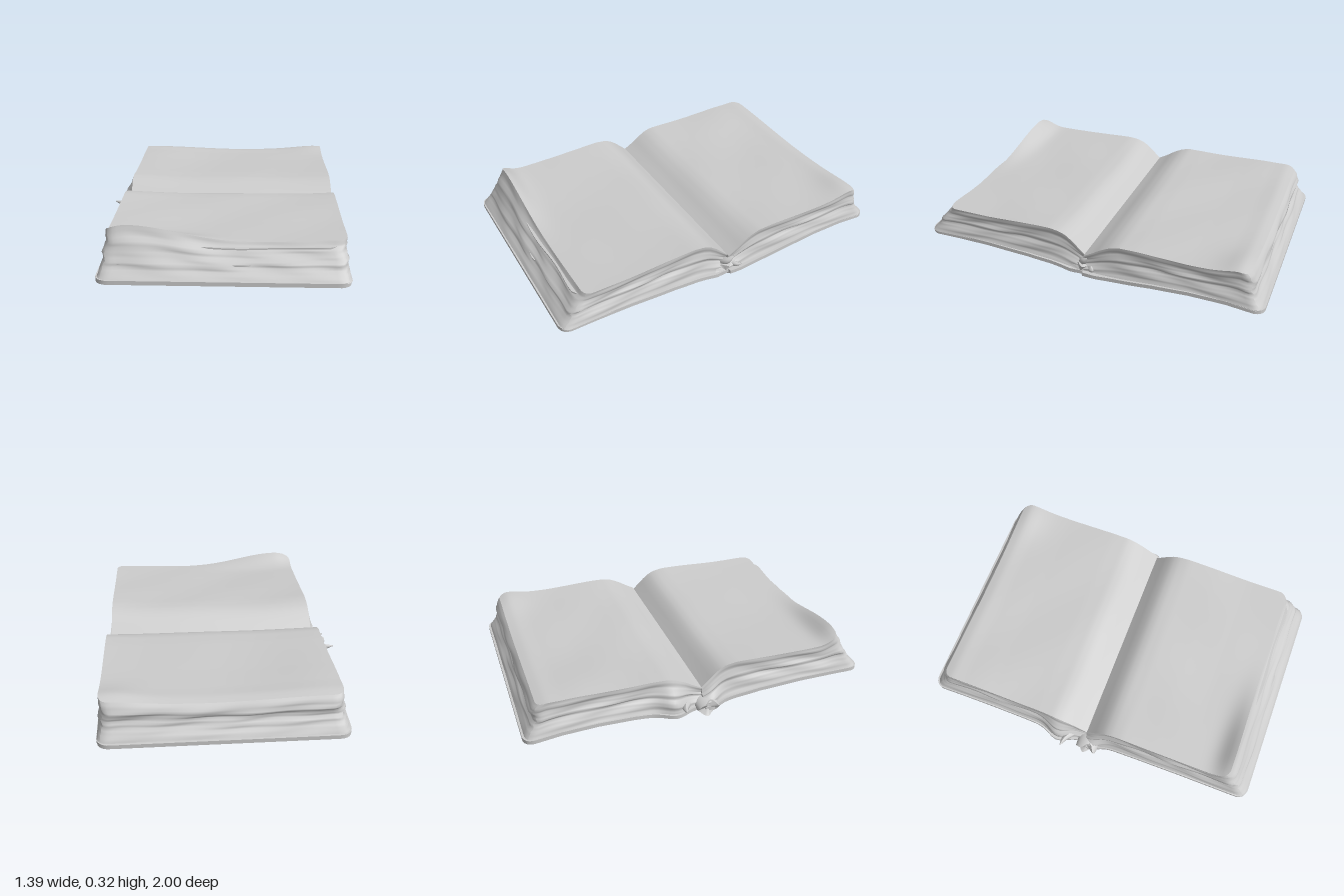
import * as THREE from 'three';

const grey = new THREE.MeshStandardMaterial({ color: 0xcccccc, side: THREE.DoubleSide });

// Piecewise-linear lookup through [position, value] pairs
function along(points, p) {
  for (let i = 1; i < points.length; i++) {
    const [a, va] = points[i - 1], [b, vb] = points[i];
    if (p <= b) return THREE.MathUtils.lerp(va, vb, THREE.MathUtils.clamp((p - a) / (b - a), 0, 1));
  }
  return points[points.length - 1][1];
}
const bump = (p, centre, width) => Math.exp(-(((p - centre) / width) ** 2));

// Rounds the two fore-edge corners of a slab in plan
function roundCorner(x, w, x0, x1, length, r) {
  const side = x < (x0 + x1) / 2 ? -1 : 1;
  const cx = side < 0 ? x0 + r : x1 - r, cw = length - r;
  const dx = (x - cx) * side, dw = w - cw;
  if (dx <= 0 || dw <= 0) return [x, w];
  const k = Math.max(dx, dw) / Math.hypot(dx, dw);
  return [cx + side * dx * k, cw + dw * k];
}

// Subdivided box whose vertices are placed by rule(u, t, w), each 0..1, w running out from the spine
function slab(name, dir, segments, rule) {
  const geometry = new THREE.BoxGeometry(1, 1, 1, ...segments);
  const pos = geometry.attributes.position;
  for (let i = 0; i < pos.count; i++) {
    const w = 0.5 + dir * pos.getZ(i);
    const [x, y, out] = rule(pos.getX(i) + 0.5, pos.getY(i) + 0.5, w);
    pos.setXYZ(i, x, y, dir * out);
  }
  geometry.computeVertexNormals();
  const mesh = new THREE.Mesh(geometry, grey);
  mesh.name = name;
  return mesh;
}

// Uneven layering of the page edges
const layers = (t, s) =>
  0.005 * Math.sin(t * 19 + 0.9 * Math.sin(s * 5)) + 0.004 * Math.sin(t * 37 + s * 4) + 0.004 * Math.sin(s * 17 + t * 9);

const halves = {
  front: {
    dir: 1, coverX: [-0.615, 0.662], pagesX: [-0.61, 0.66],
    top: [[0, 0.155], [0.03, 0.18], [0.07, 0.215], [0.11, 0.242], [0.15, 0.254], [0.22, 0.257], [0.4, 0.252], [0.6, 0.244], [0.9, 0.238]],
    edge: [[0, 0.995], [0.1, 0.98], [0.25, 0.958], [0.55, 0.918], [0.83, 0.872], [1, 0.855]],
    // curled-up corner
    lift: (x, z) => 0.08 * bump(x, -0.46, x < -0.46 ? 0.17 : 0.34) * bump(z, 0.87, 0.08),
    camber: 0.016,
    flare: (z) => 0.045 * bump(z, 0.03, 0.07),
    coverBottom: [[0, 0.028], [0.08, 0.028], [0.14, 0.042], [0.2, 0.052], [0.35, 0.067], [0.6, 0.074], [0.8, 0.07], [1, 0.064]],
  },
  back: {
    dir: -1, coverX: [-0.62, 0.68], pagesX: [-0.615, 0.675],
    top: [[0, 0.155], [0.05, 0.18], [0.1, 0.21], [0.15, 0.232], [0.2, 0.243], [0.3, 0.246], [0.6, 0.243], [0.78, 0.245], [0.86, 0.25], [0.94, 0.235]],
    edge: [[0, 0.99], [0.25, 0.962], [0.45, 0.935], [0.7, 0.938], [0.9, 0.93], [1, 0.91]],
    lift: (x, z) => 0.02 * bump(x, 0.6, 0.16) * bump(z, 0.85, 0.1) + 0.015 * bump(x, -0.5, 0.25) * bump(z, 0.75, 0.3),
    camber: 0.01,
    flare: (z) => 0.06 * bump(z, 0.17, 0.08),
    coverBottom: [[0, 0.028], [0.08, 0.03], [0.2, 0.042], [0.4, 0.064], [0.6, 0.074], [0.8, 0.07], [1, 0.05]],
  },
};

function makePages(name, h) {
  return slab(name, h.dir, [56, 18, 48], (u, t, w) => {
    const mid = Math.sin(Math.PI * t);
    const length = along(h.edge, t) + layers(t, u * 1.3) * mid;
    const wave = layers(t, w + 2) * mid + 0.014 * mid;
    // torn sheets push the left side outward close to the spine
    const x0 = h.pagesX[0] + 0.032 * t + wave - h.flare(w * length) * Math.max(0, 1 - 1.3 * Math.abs(t - 0.3));
    const x1 = h.pagesX[1] - 0.016 * t - wave;
    const [x, z] = roundCorner(THREE.MathUtils.lerp(x0, x1, u), w * length, x0, x1, length, 0.05);
    const bottom = along(h.coverBottom, z) + 0.018;
    // slight undulation and camber of the open page
    const ripple = 0.003 * Math.sin(x * 9 + z * 4) * Math.sin(z * 8) + h.camber * (x / 0.6) ** 2;
    const top = along(h.top, z) + h.lift(x, z) + ripple * Math.min(1, z * 5);
    return [x, THREE.MathUtils.lerp(bottom, top, t), z];
  });
}

function makeCover(name, h) {
  return slab(name, h.dir, [48, 1, 40], (u, t, w) => {
    // worn edges, flared close to the spine
    const a = h.coverX[0] - 0.8 * h.flare(w);
    const b = h.coverX[1] + 0.01 * bump(w, 0.05, 0.1) + 0.006 * Math.sin(w * 5);
    const [x, z] = roundCorner(THREE.MathUtils.lerp(a, b, u), w, a, b, 1, 0.06);
    const rise = 0.04 * Math.max(0, Math.abs(x) - 0.35) * bump(z, 0, 0.2);
    return [x, along(h.coverBottom, z) + rise + t * 0.022, z];
  });
}

// Rounded spine, tapering upward to ends worn to uneven lengths
function makeSpine() {
  const geometry = new THREE.CylinderGeometry(1, 1, 1, 24, 20);
  const pos = geometry.attributes.position;
  for (let i = 0; i < pos.count; i++) {
    const px = pos.getX(i), pz = pos.getZ(i), s = pos.getY(i) * 2;
    const angle = Math.atan2(pz, px);
    const x = s * (0.655 + 0.018 * Math.sin(angle * 3 + s) + 0.008 * Math.sin(angle * 5));
    const taper = Math.max(0, Math.abs(x) - 0.38);
    pos.setXYZ(i, x, 0.06 + px * (0.057 - 0.07 * taper), 0.018 - pz * (0.085 - 0.08 * taper));
  }
  geometry.computeVertexNormals();
  const mesh = new THREE.Mesh(geometry, grey);
  mesh.name = 'spine';
  return mesh;
}

// Small tapering scrap of binding at a spine end
function makeScrap(points, radius) {
  const curve = new THREE.CatmullRomCurve3(points.map((p) => new THREE.Vector3(...p)));
  const geometry = new THREE.TubeGeometry(curve, 10, radius, 7);
  const pos = geometry.attributes.position;
  for (let i = 0; i < pos.count; i++) {
    const k = Math.floor(i / 8) / 10, c = curve.getPointAt(k);
    const p = new THREE.Vector3().fromBufferAttribute(pos, i).sub(c).multiplyScalar(1 - 0.9 * k * k).add(c);
    pos.setXYZ(i, p.x, p.y, p.z);
  }
  geometry.computeVertexNormals();
  const mesh = new THREE.Mesh(geometry, grey);
  mesh.name = 'bindingScrap';
  return mesh;
}

export function createModel() {
  const group = new THREE.Group();
  group.name = 'openBook';
  for (const [name, h] of Object.entries(halves)) {
    group.add(makePages(name + 'Pages', h), makeCover(name + 'Cover', h));
  }
  group.add(makeSpine());

  // Frayed binding at both ends of the spine
  const scraps = [
    [[[-0.6, 0.08, -0.09], [-0.65, 0.09, -0.12], [-0.7, 0.1, -0.13]], 0.022],
    [[[0.62, 0.1, 0.02], [0.655, 0.12, 0], [0.67, 0.15, -0.03]], 0.025],
    [[[0.63, 0.08, -0.03], [0.67, 0.08, -0.05], [0.69, 0.09, -0.07]], 0.02],
  ];
  for (const [points, radius] of scraps) group.add(makeScrap(points, radius));

  // Loose sheet edges standing out of the front page block
  const sheets = [[0.885, 0.215, -0.57, 0.63], [0.94, 0.14, -0.58, 0.2]];
  for (const [reach, y, x0, x1] of sheets) {
    group.add(slab('looseSheet', 1, [30, 1, 2], (u, t, w) => {
      const edge = reach + 0.006 * Math.sin(u * 15) - 0.05 * (bump(u, 0, 0.04) + bump(u, 1, 0.04));
      return [THREE.MathUtils.lerp(x0, x1, u), y + 0.005 * Math.sin(u * 8) + t * 0.008, edge - 0.1 * (1 - w)];
    }));
  }
  return group;
}
